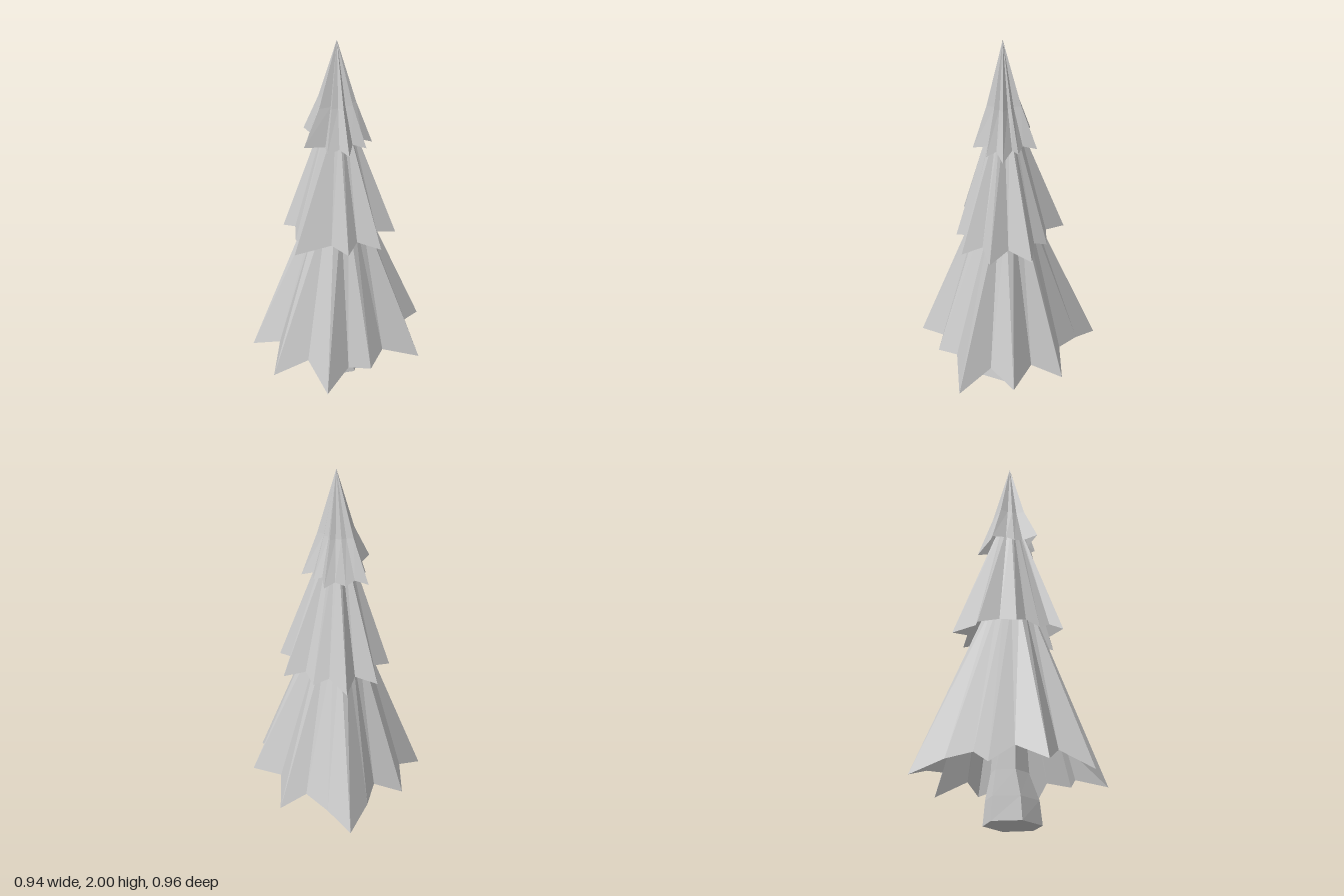
import * as THREE from 'three';

const AXIS_Z = 0.03;
const material = new THREE.MeshStandardMaterial({ color: 0xcccccc, flatShading: true, side: THREE.DoubleSide });

// Skin a stack of rings (lowest first, counter-clockwise from above), optionally capped.
function skin(name, rings, capBottom) {
  const pos = [];
  const tri = (...pts) => pts.forEach((p) => pos.push(...p));
  const n = rings[0].length;
  const centre = (ring) => [0, 1, 2].map((k) => ring.reduce((s, p) => s + p[k], 0) / n);
  const top = rings[rings.length - 1];
  for (let i = 0; i < n; i++) {
    const j = (i + 1) % n;
    for (let r = 0; r + 1 < rings.length; r++) {
      const a = rings[r], b = rings[r + 1];
      tri(a[i], a[j], b[j]);
      tri(a[i], b[j], b[i]);
    }
    tri(top[i], top[j], centre(top));
    if (capBottom) tri(rings[0][j], rings[0][i], centre(rings[0]));
  }
  const geo = new THREE.BufferGeometry();
  geo.setAttribute('position', new THREE.Float32BufferAttribute(pos, 3));
  geo.computeVertexNormals();
  const mesh = new THREE.Mesh(geo, material);
  mesh.name = name;
  return mesh;
}

// Jagged rim: [x, z] corners with tips low and valleys high, or an explicit third value for height.
const rim = (pts, even, odd) => pts.map(([x, z, y], i) => [x, y ?? (i % 2 ? odd : even), z]);

// Ring above a rim, keeping each corner's direction from the axis.
const above = (ring, y, radius) => ring.map(([x, , z]) => {
  const r = Math.hypot(x, z - AXIS_Z), k = radius(r) / r;
  return [x * k, y, AXIS_Z + (z - AXIS_Z) * k];
});

export function createModel() {
  const tree = new THREE.Group();
  tree.name = 'tree';

  // Lower skirt, starting with the tip on the +x side
  const lower = rim([
    [0.465, 0.03, 0.25], [0.32, -0.08], [0.34, -0.245], [0.2, -0.25], [0.1, -0.36, 0.25],
    [-0.005, -0.48, 0.19], [-0.115, -0.34, 0.25], [-0.17, -0.22], [-0.33, -0.205], [-0.335, -0.08],
    [-0.47, 0.03], [-0.335, 0.135], [-0.395, 0.29], [-0.21, 0.305], [-0.14, 0.48],
    [-0.005, 0.37, 0.25], [0.11, 0.4, 0.245], [0.195, 0.305], [0.4, 0.31], [0.32, 0.135],
  ], 0.19, 0.28);
  tree.add(skin('lowerBranches', [lower, above(lower, 1.1, (r) => 0.09 + 0.08 * r)]));

  // Middle skirt, starting with the valley on the +x side
  const middle = rim([
    [0.22, 0.03], [0.285, -0.08], [0.175, -0.105], [0.145, -0.175], [0.065, -0.18],
    [-0.01, -0.285], [-0.065, -0.18], [-0.175, -0.21], [-0.175, -0.095], [-0.265, -0.04],
    [-0.215, 0.03], [-0.225, 0.1], [-0.205, 0.16], [-0.25, 0.215], [-0.065, 0.22],
    [0.01, 0.275], [0.065, 0.22], [0.18, 0.26], [0.18, 0.155], [0.285, 0.13],
  ], 0.975, 0.94);
  tree.add(skin('middleBranches', [middle, above(middle, 1.6, (r) => 0.035 + 0.09 * r)]));

  // Pointed crown with a slight inward bend
  const crown = rim([
    [0.17, 0.05, 1.45], [0.115, 0.0], [0.12, -0.03], [0.08, -0.055], [0.08, -0.125],
    [0.025, -0.11], [-0.025, -0.12], [-0.07, -0.105], [-0.135, -0.12], [-0.12, -0.04],
    [-0.14, 0.0], [-0.12, 0.055], [-0.175, 0.115, 1.5], [-0.07, 0.105], [-0.07, 0.145],
    [-0.01, 0.14], [0.03, 0.18], [0.06, 0.11], [0.125, 0.125], [0.115, 0.075],
  ], 1.465, 1.485);
  tree.add(skin('crown', [
    crown,
    above(crown, 1.68, (r) => 0.53 * r),
    above(crown, 2, () => 0.0005),
  ]));

  // Six-sided trunk, flared at the foot: [y, x centre, x half, z centre, z half]
  const sections = [
    [0, 0.017, 0.128, 0.045, 0.13],
    [0.12, 0.012, 0.11, 0.042, 0.12],
    [0.25, 0, 0.08, 0.025, 0.085],
    [0.7, 0, 0.06, 0.03, 0.06],
  ];
  const trunk = sections.map(([y, cx, hx, cz, hz]) =>
    [[1, 0], [0.43, -1], [-0.48, -1], [-1, 0], [-0.48, 1], [0.43, 1]]
      .map(([u, v]) => [cx + u * hx, y, cz + v * hz]));
  tree.add(skin('trunk', trunk, true));

  return tree;
}
